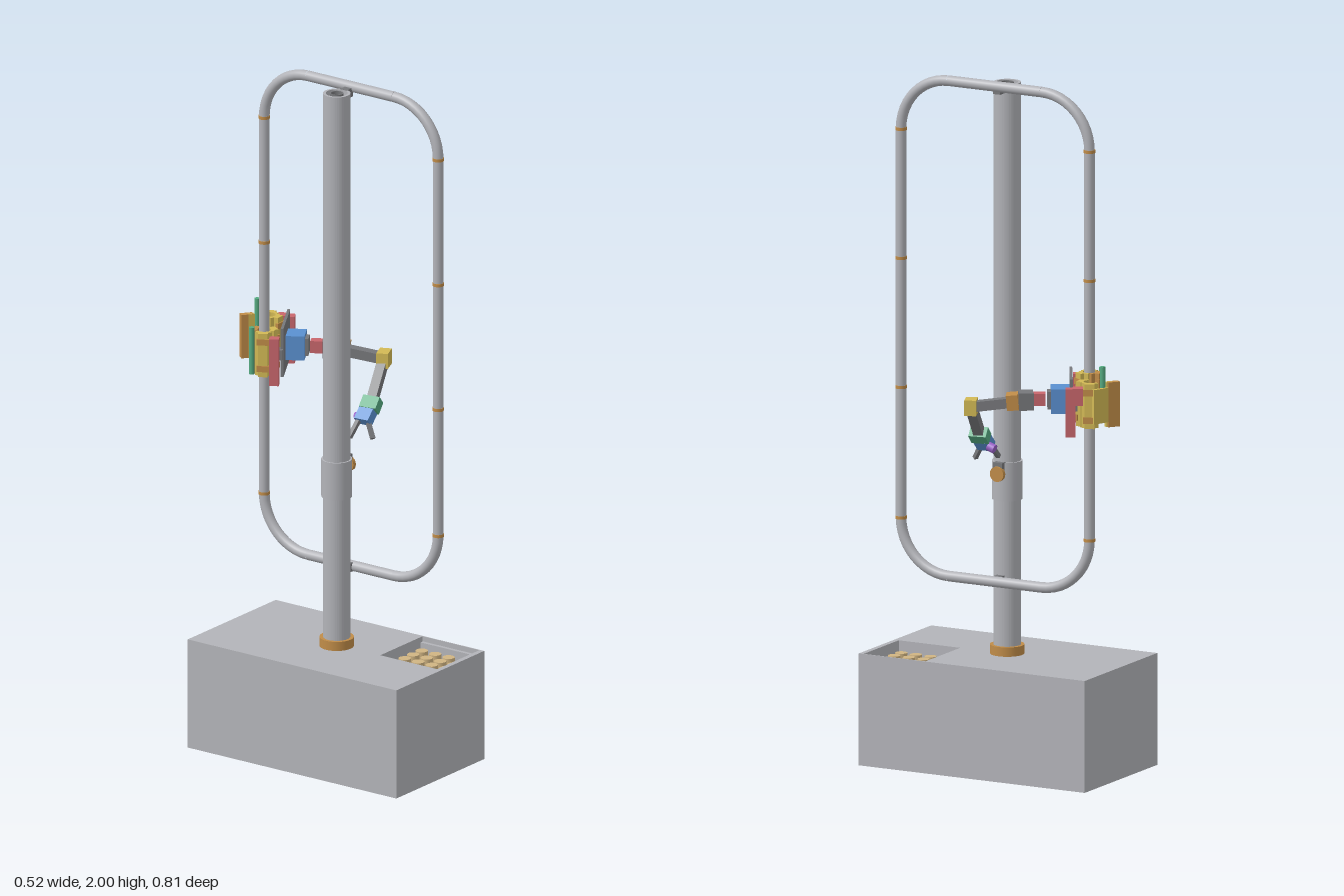
import * as THREE from 'three';

const mat = (name, color) => Object.assign(new THREE.MeshStandardMaterial({ color }), { name });
const M = {
  grey: mat('light grey', 0xb2b3b8), dark: mat('dark grey', 0x77787b),
  yellow: mat('yellow', 0xd2b955), brown: mat('bronze', 0xc08c48),
  pink: mat('red', 0xc8666c), blue: mat('blue', 0x5a90d0),
  green: mat('green', 0x55aa80), purple: mat('purple', 0x9a62c8),
  tan: mat('tan', 0xd0b482), orange: mat('orange', 0xc0683a),
};
const V = (x, y, z) => new THREE.Vector3(x, y, z);

export function createModel() {
  const root = new THREE.Group();
  root.name = 'railRobotStation';

  const add = (name, geo, m, x = 0, y = 0, z = 0, ry = 0) => {
    const mesh = new THREE.Mesh(geo, m);
    mesh.name = name;
    mesh.position.set(x, y, z);
    mesh.rotation.y = ry;
    root.add(mesh);
    return mesh;
  };
  const box = (name, w, h, d, m, x, y, z, ry = 0) => add(name, new THREE.BoxGeometry(w, h, d), m, x, y, z, ry);
  const cyl = (name, r, h, m, x, y, z, n = 32) => add(name, new THREE.CylinderGeometry(r, r, h, n), m, x, y, z);
  // bar running from a to b
  const beam = (name, a, b, w, h, m, round = false) => {
    const len = a.distanceTo(b);
    const geo = round ? new THREE.CylinderGeometry(w / 2, w / 2, len, 20).rotateX(Math.PI / 2) : new THREE.BoxGeometry(w, h, len);
    const mesh = add(name, geo, m);
    mesh.position.copy(a).lerp(b, 0.5);
    mesh.lookAt(b);
    return mesh;
  };
  // flat outline (x, z) raised from y0 to y1
  const raise = (shape, y0, y1) => new THREE.ExtrudeGeometry(shape, { depth: y1 - y0, bevelEnabled: false, curveSegments: 10 })
    .rotateX(Math.PI / 2).translate(0, y1, 0);
  const rect = (C, x0, z0, x1, z1) => {
    const s = new C();
    s.moveTo(x0, z0); s.lineTo(x1, z0); s.lineTo(x1, z1); s.lineTo(x0, z1); s.closePath();
    return s;
  };

  // base cabinet with an open tray recess
  const floorY = 0.265;
  box('baseLower', 0.42, floorY, 0.735, M.grey, -0.05, floorY / 2, 0.0375);
  const rim = rect(THREE.Shape, -0.26, -0.33, 0.16, 0.405);
  rim.holes.push(rect(THREE.Path, -0.045, 0.19, 0.157, 0.39));
  add('baseUpper', raise(rim, floorY, 0.325), M.grey);
  box('tray', 0.19, 0.008, 0.198, M.green, 0.05, floorY + 0.004, 0.29);
  box('trayRail', 0.011, 0.045, 0.198, M.grey, 0.151, floorY + 0.0225, 0.29);
  for (let i = 0; i < 4; i++) for (let j = 0; j < 4; j++) {
    const x = -0.007 + i * 0.0405, z = 0.218 + j * 0.0475;
    if (i === 3 && j === 3) {
      add('emptySlotRing', new THREE.TorusGeometry(0.015, 0.002, 8, 28).rotateX(Math.PI / 2), M.orange, x, floorY + 0.009, z);
    } else cyl('sample', 0.0175, 0.03, M.tan, x, floorY + 0.02, z, 24);
  }

  // hollow column, foot collar and sliding sleeve
  const cx = -0.05, cz = 0.04;
  const ring = (ro, ri, y0, y1) => {
    const s = new THREE.Shape().absarc(0, 0, ro, 0, Math.PI * 2);
    s.holes.push(new THREE.Path().absarc(0, 0, ri, 0, Math.PI * 2));
    return new THREE.ExtrudeGeometry(s, { depth: y1 - y0, bevelEnabled: false, curveSegments: 24 }).rotateX(Math.PI / 2).translate(0, y1, 0);
  };
  cyl('columnCore', 0.032, 1.63, M.grey, cx, 1.14, cz);
  add('column', ring(0.039, 0.031, 0.325, 1.985), M.grey, cx, 0, cz);
  add('columnTopRing', ring(0.019, 0.016, 1.95, 1.985), M.dark, cx, 0, cz);
  cyl('columnCollar', 0.049, 0.027, M.brown, cx, 0.3385, cz);
  cyl('sleeve', 0.044, 0.112, M.grey, cx, 0.831, cz);
  beam('nozzleArm', V(-0.015, 0.856, cz), V(0.0, 0.856, cz), 0.03, 0, M.dark, true);
  beam('nozzleTip', V(0.0, 0.856, cz), V(0.012, 0.856, cz), 0.044, 0, M.brown, true);
  box('nozzleBracket', 0.02, 0.025, 0.03, M.dark, -0.004, 0.876, cz);

  // closed rail loop: straights joined by segmented elbows
  const px = 0.02, r = 0.0152, R = 0.155, z0 = -0.267, z1 = 0.346, y0 = 0.546, y1 = 1.985;
  const straight = (a, b) => beam('railStraight', a, b, r * 2, 0, M.grey, true);
  for (const z of [z0, z1]) straight(V(px, y0 + R, z), V(px, y1 - R, z));
  for (const y of [y0, y1]) straight(V(px, y, z0 + R), V(px, y, z1 - R));
  for (const [sz, z] of [[-1, z0 + R], [1, z1 - R]]) for (const [sy, y] of [[-1, y0 + R], [1, y1 - R]]) {
    const pts = [];
    for (let i = 0; i <= 10; i++) {
      const t = (i / 10) * Math.PI / 2;
      pts.push(V(px, y + sy * R * Math.sin(t), z + sz * R * Math.cos(t)));
    }
    add('railElbow', new THREE.TubeGeometry(new THREE.CatmullRomCurve3(pts), 12, r, 20), M.grey);
  }
  for (const z of [z0, z1]) for (const y of [0.701, 1.08, 1.455, 1.83]) cyl('railJoint', r + 0.0012, 0.009, M.brown, px, y, z, 24);
  for (const y of [y0, y1 - 0.012]) box('railBracket', 0.03, 0.026, 0.024, M.dark, -0.003, y, cz);

  // climbing carriage, turned so its face looks towards +x +z
  const yaw = Math.PI / 6;
  box('carriagePlate', 0.17, 0.145, 0.008, M.dark, 0.105, 1.128, -0.255, yaw);
  box('carriageMotor', 0.066, 0.072, 0.056, M.blue, 0.119, 1.125, -0.229, yaw);
  box('motorFlange', 0.042, 0.05, 0.01, M.dark, 0.135, 1.125, -0.2, yaw);

  // gripping jaw with a curved inner face; it opens towards the point (tx, tz)
  const jawShape = new THREE.Shape();
  jawShape.moveTo(0.038, -0.014);
  jawShape.lineTo(0.038, 0.014);
  jawShape.lineTo(0.026, 0.014);
  jawShape.lineTo(0.02, 0.024);
  jawShape.lineTo(0.01, 0.0165);
  jawShape.absarc(0, 0, 0.0193, 1.026, -1.026, true);
  jawShape.lineTo(0.02, -0.024);
  jawShape.lineTo(0.026, -0.014);
  const jaw = (m, tx, tz, deg) => {
    const g = raise(jawShape, 1.06, 1.19);
    add('jaw', g, m, tx, 0, tz, -deg * Math.PI / 180);
    for (const y of [1.085, 1.165]) {
      const a = deg * Math.PI / 180;
      box('jawRib', 0.008, 0.018, 0.036, M.brown, tx + Math.cos(a) * 0.037, y, tz + Math.sin(a) * 0.037, -a);
    }
  };
  // closed clamp on the rail
  jaw(M.yellow, px, z0, 150);
  jaw(M.yellow, px, z0, 30);
  jaw(M.brown, px, z0, 270);
  // open clamp beside it
  const ox = 0.132, oz = -0.333;
  jaw(M.yellow, ox, oz, -25);
  jaw(M.yellow, ox, oz, 85);
  beam('openJawLink', V(0.165, 1.125, -0.36), V(0.105, 1.125, -0.385), 0.01, 0.1, M.yellow);
  box('openJaw', 0.036, 0.13, 0.018, M.brown, 0.1, 1.125, -0.388, -0.65);
  box('openJawPad', 0.018, 0.13, 0.012, M.yellow, 0.108, 1.125, -0.378, -0.65);
  // hinge pins and clamp actuators
  cyl('hingePin', 0.008, 0.14, M.green, -0.007, 1.13, -0.291, 16);
  cyl('hingePin', 0.008, 0.14, M.green, 0.122, 1.165, -0.367, 16);
  box('clampActuator', 0.028, 0.14, 0.028, M.pink, 0.007, 1.108, -0.222, yaw);
  box('clampActuator', 0.028, 0.14, 0.028, M.pink, 0.19, 1.108, -0.301, yaw);
  box('clampServo', 0.03, 0.05, 0.03, M.pink, 0.182, 1.155, -0.32, yaw);
  for (const [x, z] of [[0.03, -0.22], [0.17, -0.3]]) box('clampMount', 0.03, 0.03, 0.02, M.dark, x, 1.125, z, yaw);

  // arm: shoulder, upper link, elbow, forearm
  beam('shoulderMotor', V(0.138, 1.125, -0.19), V(0.16, 1.125, -0.15), 0.028, 0.036, M.pink);
  beam('shoulderBlock', V(0.155, 1.122, -0.16), V(0.178, 1.122, -0.125), 0.054, 0.05, M.dark);
  beam('shoulderJoint', V(0.176, 1.12, -0.124), V(0.191, 1.117, -0.094), 0.054, 0.044, M.brown);
  const elbow = V(0.23, 1.1, 0);
  beam('upperArm', V(0.188, 1.115, -0.1), elbow, 0.03, 0.028, M.dark);
  box('elbowJoint', 0.05, 0.045, 0.034, M.yellow, 0.23, 1.1, 0.0, 0.4);
  const wrist = V(0.135, 0.998, 0.026);
  beam('forearm', elbow, wrist, 0.028, 0.026, M.dark);

  // wrist and two-finger gripper
  beam('wristJoint', V(0.145, 1.008, 0.025), V(0.117, 0.982, 0.03), 0.052, 0.034, M.green);
  beam('gripperBody', V(0.117, 0.982, 0.028), V(0.088, 0.955, 0.03), 0.046, 0.032, M.blue);
  beam('gripperMotor', V(0.115, 0.962, 0.008), V(0.115, 0.955, -0.012), 0.026, 0, M.purple, true);
  beam('gripperFinger', V(0.095, 0.965, 0.016), V(0.045, 0.918, 0.015), 0.012, 0.012, M.dark);
  beam('gripperFinger', V(0.098, 0.96, 0.04), V(0.082, 0.915, 0.07), 0.012, 0.012, M.dark);

  return root;
}
